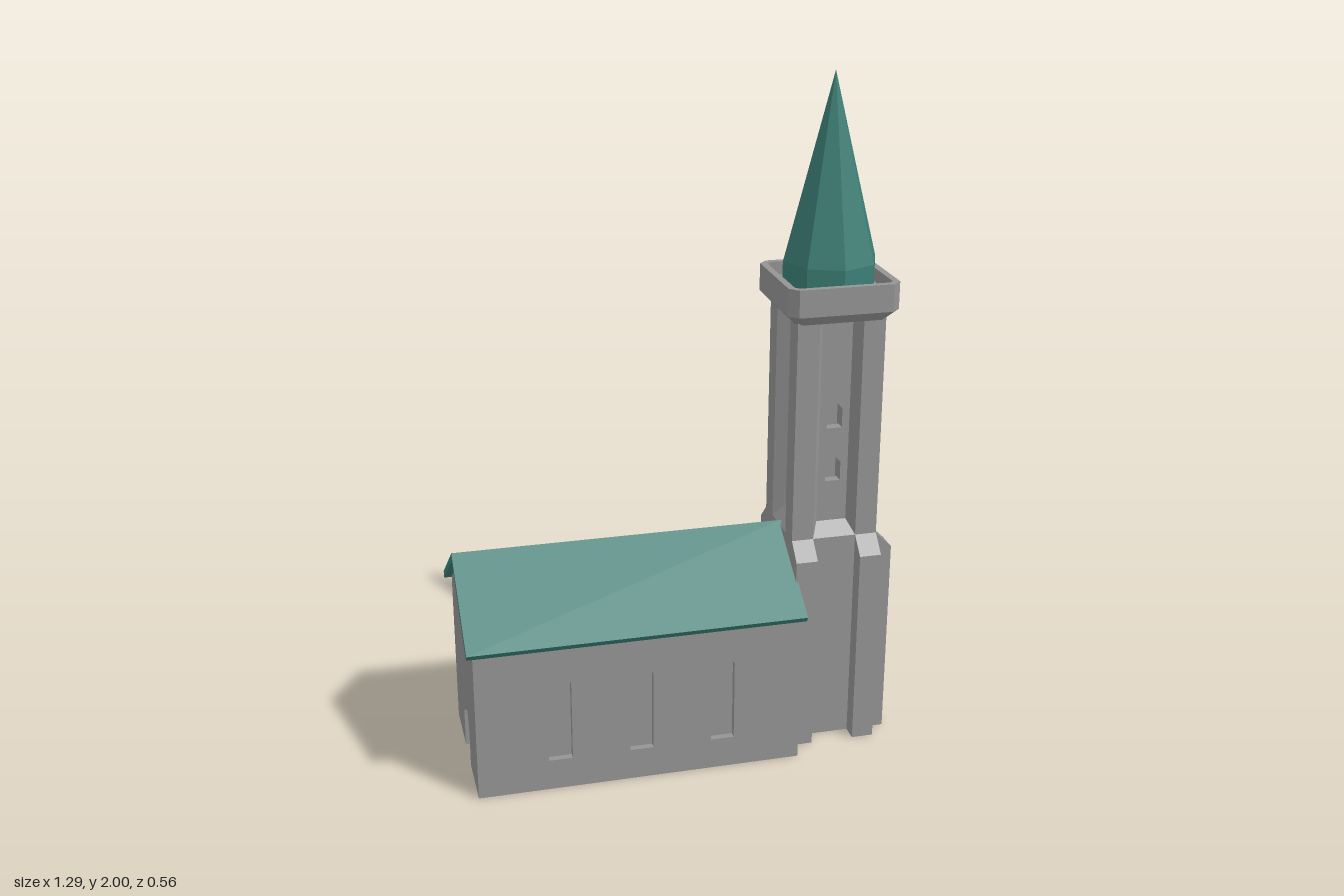
import * as THREE from 'three';

const stone = new THREE.MeshStandardMaterial({ color: 0x949494, flatShading: true });
const copper = new THREE.MeshStandardMaterial({ color: 0x3c7f76, flatShading: true });

function add(parent, name, geometry, material = stone) {
  const mesh = new THREE.Mesh(geometry, material);
  mesh.name = name;
  parent.add(mesh);
  return mesh;
}

const polygon = (points) => new THREE.Shape(points.map(([x, y]) => new THREE.Vector2(x, y)));

const extrude = (shape, depth) => new THREE.ExtrudeGeometry(shape, { depth, bevelEnabled: false });

// Outline of a window with a pointed head
const lancet = (x, w, y0, shoulder, apex) =>
  polygon([[x - w / 2, y0], [x + w / 2, y0], [x + w / 2, shoulder], [x, apex], [x - w / 2, shoulder]]);

// Profile in (z, y) extruded along x from x0 to x1
function alongX(points, x0, x1) {
  const g = extrude(polygon(points.map(([z, y]) => [-z, y])), x1 - x0);
  return g.rotateY(Math.PI / 2).translate(x0, 0, 0);
}

// Profile in (distance from tower axis, y), with width w, centred sideways on t, turned by angle
const outward = (points, w, t, angle) =>
  extrude(polygon(points), w).translate(0, 0, t - w / 2).rotateY(angle);

// Closed loft through square rings with cut corners: [half width, corner cut, y]
function loftSquares(rings) {
  const pos = [], index = [];
  for (const [h, c, y] of rings) {
    const k = h - c;
    for (const [x, z] of [[h, k], [k, h], [-k, h], [-h, k], [-h, -k], [-k, -h], [k, -h], [h, -k]]) pos.push(x, y, z);
  }
  for (let r = 0; r < rings.length - 1; r++) {
    for (let i = 0; i < 8; i++) {
      const a = r * 8 + i, b = r * 8 + (i + 1) % 8;
      index.push(a, a + 8, b, b, a + 8, b + 8);
    }
  }
  const top = (rings.length - 1) * 8;
  for (let i = 1; i < 7; i++) {
    index.push(0, i, i + 1);
    index.push(top, top + i + 1, top + i);
  }
  const g = new THREE.BufferGeometry();
  g.setAttribute('position', new THREE.Float32BufferAttribute(pos, 3));
  g.setIndex(index);
  const flat = g.toNonIndexed();
  flat.computeVertexNormals();
  return flat;
}

function createNave() {
  const nave = new THREE.Group();
  nave.name = 'nave';
  const x0 = -0.595, x1 = 0.315;

  // Inner block that closes the backs of the blind windows and door
  add(nave, 'naveCore', alongX([[-0.22, 0], [0.22, 0], [0.22, 0.495], [0, 0.643], [-0.22, 0.495]], x0, x1));

  // Side walls with three blind lancet windows each
  for (const side of [1, -1]) {
    const wall = polygon([[x0, 0], [x1, 0], [x1, 0.483], [x0, 0.483]]);
    for (const x of [-0.383, -0.143, 0.1]) wall.holes.push(lancet(x, 0.07, 0.095, 0.34, 0.398));
    add(nave, 'sideWall', extrude(wall, 0.02).translate(0, 0, side > 0 ? 0.22 : -0.24));
  }

  // Gable walls, the free one with a recessed arched doorway
  const gable = [[0.24, 0], [0.24, 0.483], [0, 0.645], [-0.24, 0.483], [-0.24, 0]];
  const door = [[-0.06, 0], [-0.06, 0.12], [-0.04, 0.16], [0, 0.182], [0.04, 0.16], [0.06, 0.12], [0.06, 0]];
  add(nave, 'doorGable', alongX([...gable, ...door], -0.625, x0));
  add(nave, 'towerGable', alongX(gable, x1, 0.335));

  // Pitched roof slab
  add(nave, 'naveRoof', alongX([
    [0, 0.671], [-0.278, 0.483], [-0.267, 0.466], [0, 0.646], [0.267, 0.466], [0.278, 0.483],
  ], -0.645, 0.342), copper);
  return nave;
}

function createTower() {
  const tower = new THREE.Group();
  tower.name = 'tower';
  const quarter = Math.PI / 2;

  add(tower, 'towerBase', new THREE.BoxGeometry(0.26, 0.66, 0.26).translate(0, 0.33, 0));

  // Paired buttresses on the three free faces
  const buttress = [[0.12, 0], [0.18, 0], [0.18, 0.61], [0.13, 0.66], [0.12, 0.66]];
  for (const angle of [0, quarter, -quarter]) {
    for (const t of [-0.0975, 0.0975]) add(tower, 'buttress', outward(buttress, 0.065, t, angle));
  }

  // Hollow shaft: front and back walls with two windows each, plain side walls
  const panel = polygon([[-0.095, 0.65], [0.095, 0.65], [0.095, 1.34], [-0.095, 1.34]]);
  for (const y of [0.825, 0.99]) panel.holes.push(lancet(0, 0.046, y, y + 0.058, y + 0.082));
  for (const side of [1, -1]) {
    add(tower, 'windowWall', extrude(panel, 0.03).translate(0, 0, side > 0 ? 0.065 : -0.095));
    add(tower, 'shaftSideWall', new THREE.BoxGeometry(0.03, 0.69, 0.13).translate(side * 0.08, 0.995, 0));
  }

  // Corner pilasters with splayed inner edges, and a sloping sill in each panel
  const pilaster = [[0.07, 0.07], [0.095, 0.045], [0.13, 0.065], [0.13, 0.13], [0.065, 0.13], [0.045, 0.095]];
  const sill = [[0.08, 0.65], [0.13, 0.66], [0.095, 0.7], [0.08, 0.7]];
  for (let i = 0; i < 4; i++) {
    const g = extrude(polygon(pilaster), 0.69).rotateX(-quarter).translate(0, 0.65, 0);
    add(tower, 'cornerPilaster', g.rotateY(i * quarter));
    add(tower, 'sill', outward(sill, 0.13, 0, i * quarter));
  }

  // Parapet with a sunken floor
  add(tower, 'parapet', loftSquares([
    [0.135, 0.02, 1.32], [0.163, 0.025, 1.35], [0.163, 0.025, 1.43], [0.143, 0.012, 1.43], [0.143, 0.012, 1.39],
  ]));

  // Eight-sided spire on a short drum
  add(tower, 'spireDrum', new THREE.CylinderGeometry(0.138, 0.138, 0.085, 8, 1, true).translate(0, 1.4275, 0), copper);
  add(tower, 'spire', new THREE.ConeGeometry(0.138, 0.53, 8, 1, true).translate(0, 1.735, 0), copper);

  tower.position.x = 0.465;
  return tower;
}

export function createModel() {
  const church = new THREE.Group();
  church.name = 'church';
  church.add(createNave(), createTower());
  return church;
}
